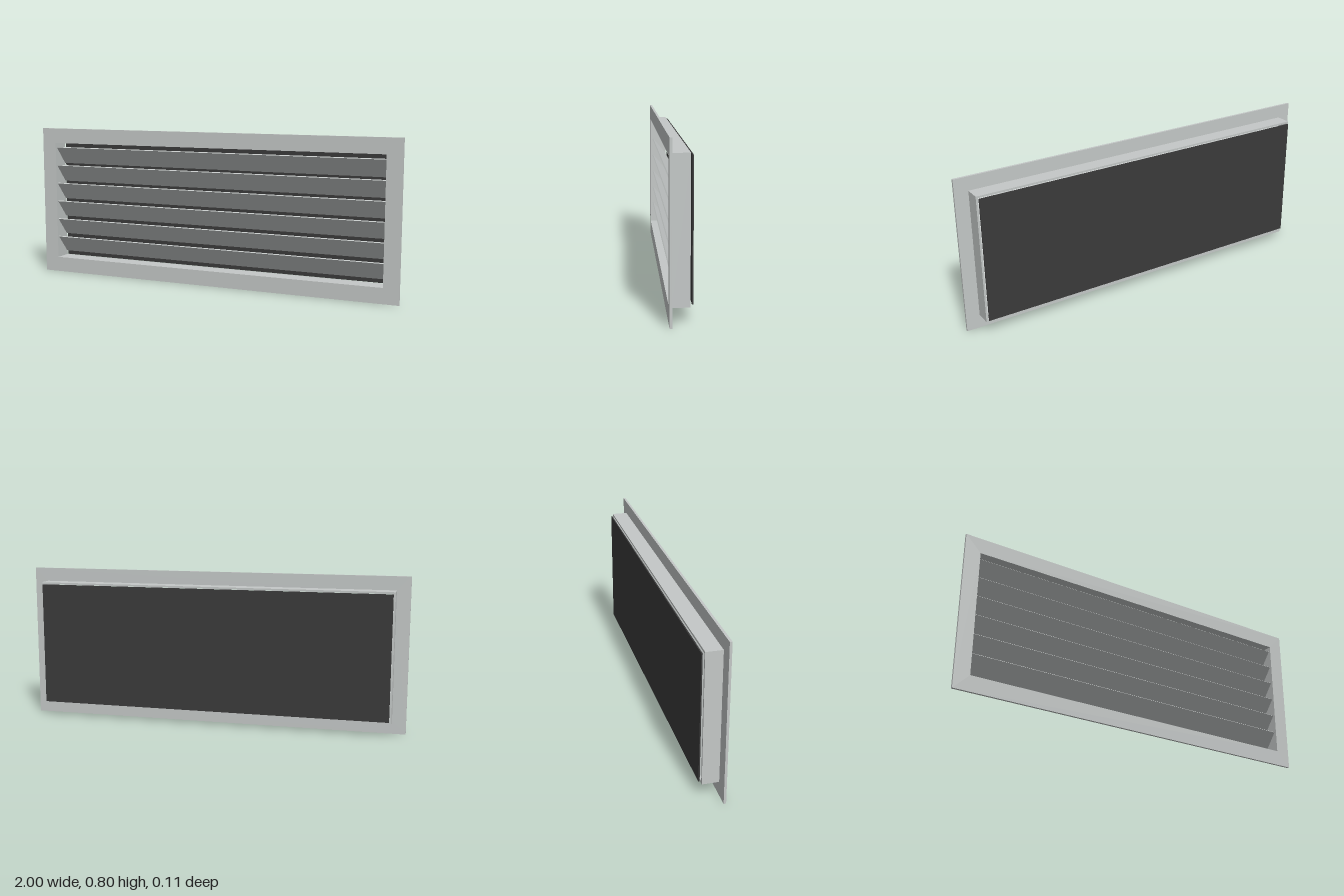
import * as THREE from 'three';

// Rectangular ring extruded along z from z0 to z1
function ring(outerW, outerH, innerW, innerH, z0, z1) {
  const rect = (path, w, h) => path
    .moveTo(-w / 2, -h / 2).lineTo(w / 2, -h / 2)
    .lineTo(w / 2, h / 2).lineTo(-w / 2, h / 2).closePath();
  const shape = new THREE.Shape();
  rect(shape, outerW, outerH);
  const hole = new THREE.Path();
  rect(hole, innerW, innerH);
  shape.holes.push(hole);
  const geo = new THREE.ExtrudeGeometry(shape, { depth: z1 - z0, bevelEnabled: false });
  return geo.translate(0, 0.4, z0);
}

export function createModel() {
  const model = new THREE.Group();
  model.name = 'louvreVent';

  const metal = new THREE.MeshStandardMaterial({ color: 0xc4c8c7 });
  metal.name = 'paleGreyMetal';
  const dark = new THREE.MeshStandardMaterial({ color: 0x3a3a3a });
  dark.name = 'darkBacking';

  const add = (name, geo, mat, parent = model) => {
    const mesh = new THREE.Mesh(geo, mat);
    mesh.name = name;
    parent.add(mesh);
    return mesh;
  };

  // Wide front flange and the narrower collar behind it
  add('flange', ring(2, 0.8, 1.84, 0.64, 0.041, 0.053), metal);
  add('collar', ring(1.86, 0.66, 1.84, 0.64, -0.04, 0.041), metal);

  // Thin backing panel, set slightly behind the collar
  add('backPanel', new THREE.BoxGeometry(1.84, 0.64, 0.006).translate(0, 0.4, -0.05), dark);

  // Six slanted blades, front edges high and rear edges low
  const blades = new THREE.Group();
  blades.name = 'blades';
  model.add(blades);
  const bladeGeo = new THREE.BoxGeometry(1.84, 0.006, 0.12);
  for (let i = 0; i < 6; i++) {
    const blade = add('blade' + (i + 1), bladeGeo, metal, blades);
    blade.position.y = 0.15 + i * 0.1;
    blade.rotation.x = -THREE.MathUtils.degToRad(50);
  }

  return model;
}
